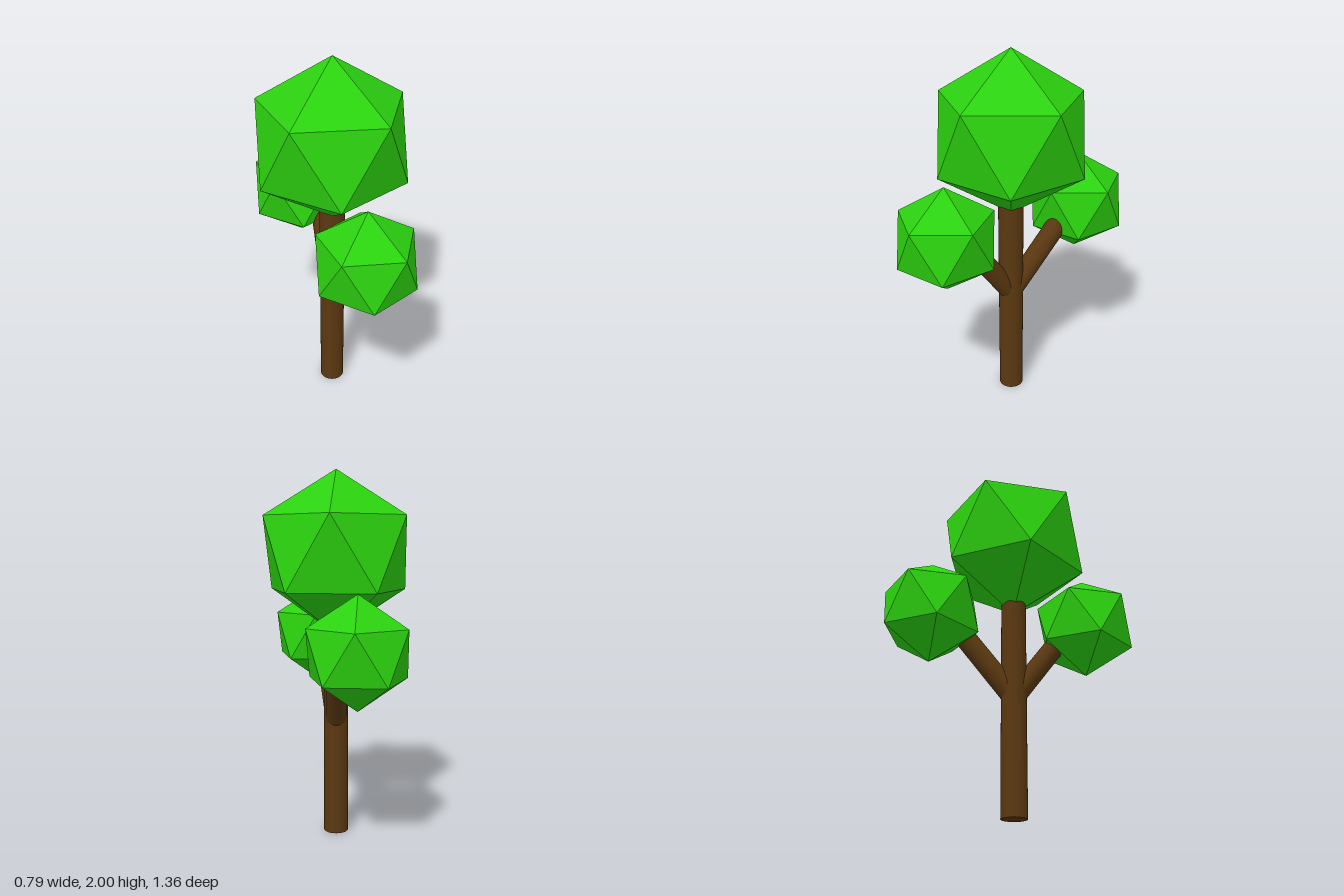
import * as THREE from 'three';

const bark = new THREE.MeshStandardMaterial({ color: 0x5a3810 });
const leaf = new THREE.MeshStandardMaterial({ color: 0x2bd10f, flatShading: true });

// Straight round limb between two points
function limb(name, from, to, radius) {
  const a = new THREE.Vector3(...from);
  const b = new THREE.Vector3(...to);
  const dir = b.clone().sub(a);
  const mesh = new THREE.Mesh(new THREE.CylinderGeometry(radius, radius, dir.length(), 32), bark);
  mesh.position.copy(a).add(b).multiplyScalar(0.5);
  mesh.quaternion.setFromUnitVectors(new THREE.Vector3(0, 1, 0), dir.normalize());
  mesh.name = name;
  return mesh;
}

// Faceted leaf ball standing on one corner, with an upper-ring corner towards +x
function foliage(name, position, radius) {
  const geometry = new THREE.IcosahedronGeometry(radius, 0);
  geometry.rotateZ(-Math.atan(2 / (1 + Math.sqrt(5))));
  const mesh = new THREE.Mesh(geometry, leaf);
  mesh.position.set(...position);
  mesh.name = name;
  return mesh;
}

export function createModel() {
  const tree = new THREE.Group();
  tree.name = 'tree';
  tree.add(
    limb('trunk', [0, 0, 0.025], [0, 1.22, 0.025], 0.068),
    // Side branches reach into the lower leaf balls
    limb('frontBranch', [0, 0.63, 0.025], [0, 1.03, 0.32], 0.056),
    limb('backBranch', [0, 0.63, 0.025], [0.07, 1.08, -0.315], 0.058),
    foliage('crown', [0, 1.56, 0.022], 0.44),
    foliage('frontFoliage', [0, 1.08, 0.433], 0.29),
    foliage('backFoliage', [0, 1.08, -0.433], 0.29),
  );
  return tree;
}
